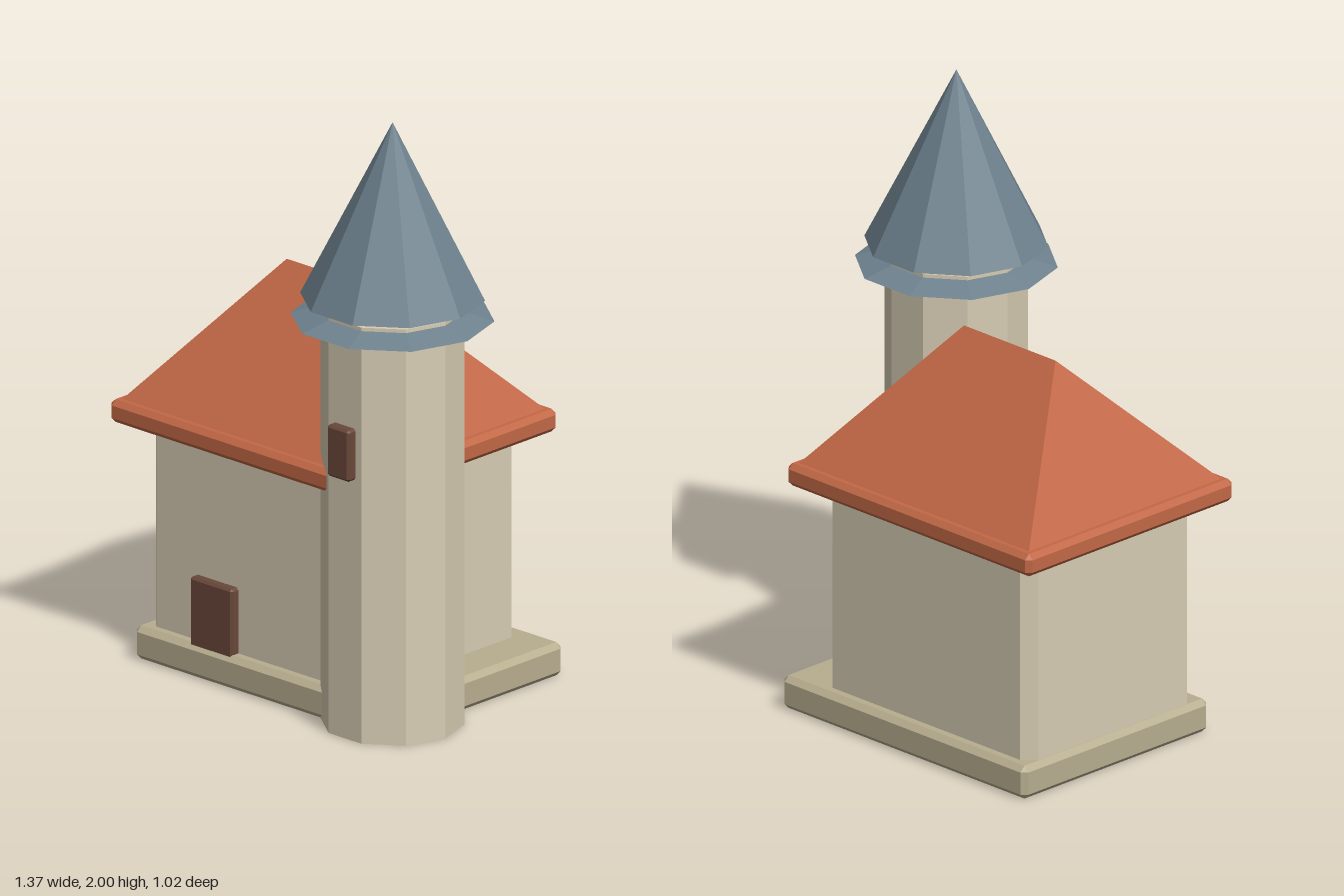
import * as THREE from 'three';
import { ConvexGeometry } from 'three/addons/geometries/ConvexGeometry.js';

const flat = (name, color) => {
  const m = new THREE.MeshStandardMaterial({ color });
  m.name = name;
  m.flatShading = true;
  return m;
};

// Box given by its extents, with every edge and corner chamfered by c
function chamferBox(x0, x1, y0, y1, z0, z1, c) {
  const pts = [];
  for (const [x, dx] of [[x0, c], [x1, -c]])
    for (const [y, dy] of [[y0, c], [y1, -c]])
      for (const [z, dz] of [[z0, c], [z1, -c]])
        pts.push(
          new THREE.Vector3(x, y + dy, z + dz),
          new THREE.Vector3(x + dx, y, z + dz),
          new THREE.Vector3(x + dx, y + dy, z)
        );
  return new ConvexGeometry(pts);
}

export function createModel() {
  const group = new THREE.Group();
  const plaster = flat('plaster', 0xd6ccb2);
  const stone = flat('stone', 0xb8ae8f);
  const tile = flat('roof tile', 0xc26846);
  const slate = flat('slate', 0x6e828e);
  const wood = flat('dark wood', 0x694839);

  const add = (name, geometry, material) => {
    const mesh = new THREE.Mesh(geometry, material);
    mesh.name = name;
    group.add(mesh);
    return mesh;
  };

  // House body
  add('plinth', chamferBox(-0.62, 0.465, 0, 0.111, -0.47, 0.35, 0.018), stone);
  add('walls', chamferBox(-0.6, 0.316, 0.05, 0.84, -0.428, 0.308, 0.041), plaster);
  add('eaves', chamferBox(-0.685, 0.4, 0.786, 0.862, -0.515, 0.396, 0.017), tile);

  // Hipped roof: rectangular base rising to a short ridge
  const hip = [[-0.345, 1.295, -0.06], [0.062, 1.295, -0.06]];
  for (const x of [-0.654, 0.369])
    for (const z of [-0.484, 0.364]) hip.push([x, 0.861, z]);
  add('hippedRoof', new ConvexGeometry(hip.map(p => new THREE.Vector3(...p))), tile);

  // Ten-sided tower with a shallow eave and a steep spire
  const tower = (name, rTop, rBottom, y0, y1, material) => {
    const g = new THREE.CylinderGeometry(rTop, rBottom, y1 - y0, 10);
    g.rotateY(Math.PI / 2);
    add(name, g, material).position.set(0.358, (y0 + y1) / 2, 0.2);
  };
  tower('towerShaft', 0.228, 0.228, 0, 1.39, plaster);
  tower('towerEave', 0, 0.322, 1.35, 1.447, slate);
  tower('spire', 0, 0.292, 1.418, 2, slate);

  // Openings
  add('door', chamferBox(-0.388, -0.205, 0.08, 0.33, 0.29, 0.338, 0.008), wood);
  add('towerWindow', chamferBox(0.308, 0.404, 0.873, 1.045, 0.4, 0.449, 0.008), wood);

  return group;
}
